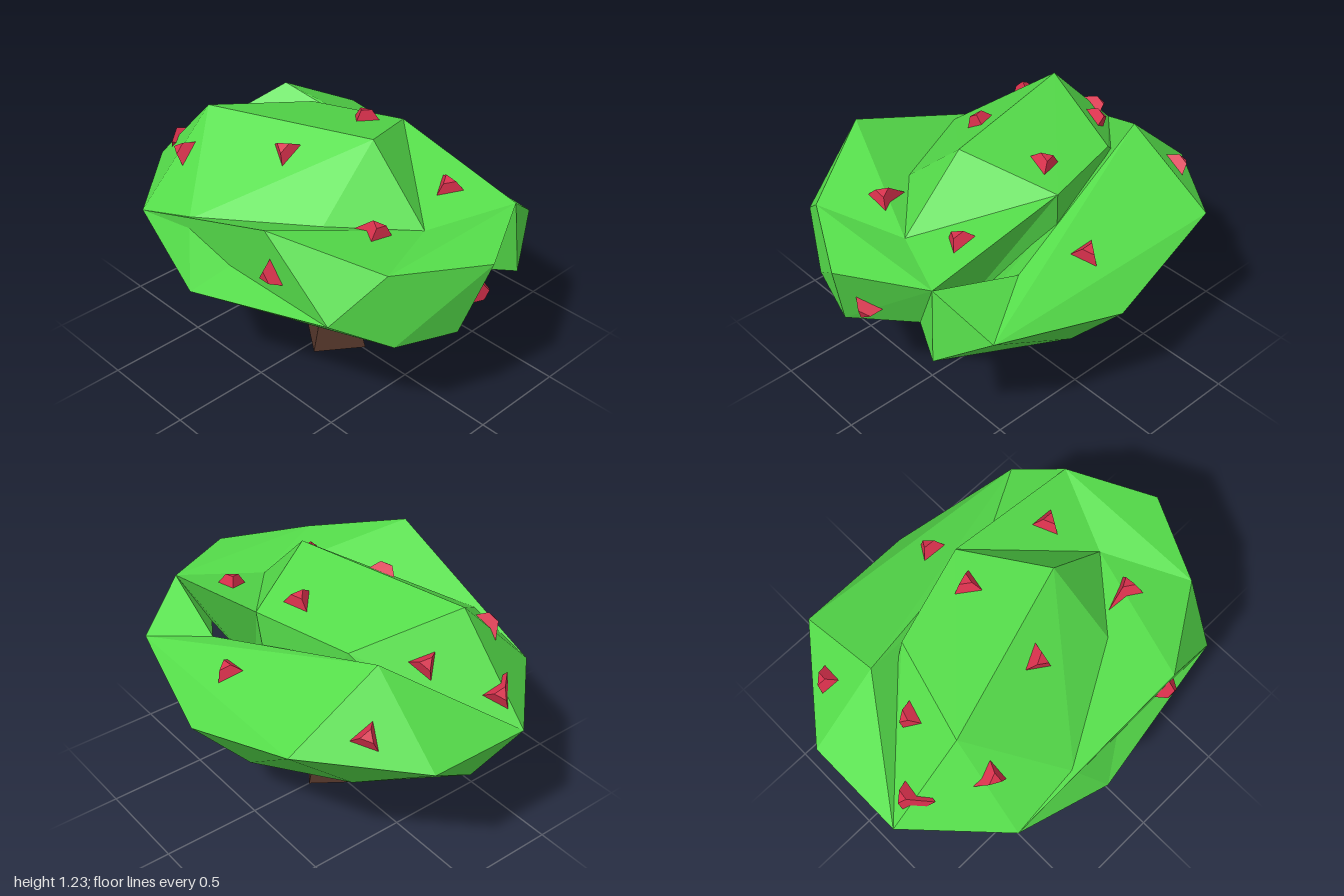
import * as THREE from 'three';
import { ConvexGeometry } from 'three/addons/geometries/ConvexGeometry.js';

const V = (p) => new THREE.Vector3(...p);
const UP = new THREE.Vector3(0, 1, 0);
const mat = (color) => new THREE.MeshStandardMaterial({ color, flatShading: true });

// Faceted limb tapering from point a to point b
function limb(a, b, r0, r1, material, sides = 5) {
  const start = V(a), dir = V(b).sub(start);
  const mesh = new THREE.Mesh(new THREE.CylinderGeometry(r1, r0, dir.length(), sides), material);
  mesh.position.copy(start).addScaledVector(dir, 0.5);
  mesh.quaternion.setFromUnitVectors(UP, dir.normalize());
  return mesh;
}

export function createModel() {
  const tree = new THREE.Group();
  tree.name = 'tree';
  const bark = mat(0x523429), leaf = mat(0x55dd4a), red = mat(0xd8304c);

  // Four-sided trunk, flared at the ground and slightly turned
  const trunk = new THREE.Mesh(new THREE.CylinderGeometry(0.115, 0.185, 0.24, 4), bark);
  trunk.name = 'trunk';
  trunk.position.set(0.03, 0.12, 0.02);
  trunk.rotation.y = 0.17;
  tree.add(trunk);

  // Branches as tapering chains: points, start radius, end radius
  const chains = [
    ['leftBranch', [[0.06, 0.19, 0.03], [0.2, 0.29, 0.12], [0.38, 0.46, 0.2]], 0.07, 0.05],
    ['rightBranch', [[0, 0.19, 0.06], [-0.26, 0.27, 0.2], [-0.4, 0.35, 0.25], [-0.58, 0.5, 0.28]], 0.065, 0.04],
    ['rightTwig', [[-0.26, 0.26, 0.2], [-0.3, 0.36, 0.24], [-0.29, 0.5, 0.3]], 0.045, 0.035],
    ['backBranch', [[0.03, 0.19, -0.04], [0.02, 0.225, -0.28], [0.12, 0.36, -0.42]], 0.055, 0.04],
    ['backTwig', [[-0.22, 0.25, 0.14], [-0.06, 0.37, 0.02]], 0.04, 0.03],
  ];
  for (const [name, pts, r0, r1] of chains) {
    const branch = new THREE.Group();
    branch.name = name;
    const n = pts.length - 1;
    const r = (k) => r0 + (r1 - r0) * k / n;
    for (let i = 0; i < n; i++) branch.add(limb(pts[i], pts[i + 1], r(i), r(i + 1), bark));
    tree.add(branch);
  }

  // Corners shared by neighbouring foliage clumps
  const peak = [0.27, 1.23, 0.02], ledge = [0.06, 1.1, -0.4], dip = [0.6, 0.9, 0.02];
  const frontDip = [-0.25, 0.86, 0.68], tip = [1, 0.92, 0.02];
  const leftFront = [0.78, 0.95, 0.44], leftBack = [0.78, 0.95, -0.39];
  const rimRight = [-0.61, 0.75, 0.69], rimLeft = [0.67, 0.75, 0.68], rimBack = [0.67, 0.75, -0.65];
  const sideRight = [-1, 0.75, 0.28], lowRight = [-0.94, 0.585, 0.03];
  const lowFront = [0.81, 0.58, 0.42], lowLeft = [0.9, 0.55, 0.11], lowBack = [0.81, 0.58, -0.41];
  const notch = [0.73, 0.64, -0.23], under = [0.48, 0.44, -0.14], underFront = [0.4, 0.385, 0.25];
  const underRight = [-0.65, 0.42, 0.365], bottom = [-0.02, 0.285, -0.33];
  const bow = [-0.12, 0.58, 0.8], bowLeft = [0.33, 0.64, 0.69], step = [0.35, 0.84, -0.46];

  // Canopy: faceted clumps that meet in valleys
  const clumps = {
    middleFoliage: [peak, [-0.58, 1.18, 0.28], ledge, [-0.42, 1.07, -0.25], dip, frontDip, rimRight,
      sideRight, bow, bowLeft, lowRight, underRight, underFront, under, bottom],
    lowerFrontFoliage: [rimRight, rimLeft, bow, bowLeft, lowFront, lowLeft, under, underFront, underRight],
    frontFoliage: [[0.33, 1.09, 0.72], leftFront, dip, frontDip, rimRight, rimLeft, lowFront, lowLeft],
    leftFoliage: [tip, leftFront, leftBack, dip, lowFront, lowLeft, notch, under],
    leftLedgeFoliage: [ledge, leftBack, dip, notch, under],
    backLedgeFoliage: [leftBack, step, rimBack, lowBack, notch],
    backFoliage: [[-0.61, 1.11, -0.24], [-1, 0.76, -0.24], sideRight, [-0.61, 0.84, -0.72],
      [0.03, 0.645, -0.8], step, rimBack, lowBack, lowRight, [-0.52, 0.43, -0.3],
      [0.03, 0.285, -0.49], bottom],
  };
  const foliage = Object.entries(clumps).map(([name, pts]) => {
    const mesh = new THREE.Mesh(new ConvexGeometry(pts.map(V)), leaf);
    mesh.name = name;
    tree.add(mesh);
    return mesh;
  });

  // Fruit: three-sided lumps set on the canopy surface where a ray meets it
  const fruitShape = new THREE.CylinderGeometry(0.035, 0.12, 0.1, 3);
  const ray = new THREE.Raycaster();
  const addFruit = (from, dir, turn) => {
    ray.set(V(from), V(dir));
    const hit = ray.intersectObjects(foliage)[0];
    if (!hit) return;
    const fruit = new THREE.Mesh(fruitShape, red);
    fruit.name = 'fruit';
    fruit.position.copy(hit.point).addScaledVector(hit.face.normal, -0.003);
    fruit.quaternion.setFromUnitVectors(UP, hit.face.normal);
    fruit.rotateY(turn);
    tree.add(fruit);
  };
  const spots = [
    [-0.75, -0.41, 0.6], [-0.86, 0.25, 0.5], [-0.62, 0.02, 0.3], [-0.55, 0.46, 2.6], [-0.06, 0.25, 0.5],
    [0.04, -0.57, 1.05], [-0.03, -0.22, 0.3], [0.5, -0.24, 0], [0.53, 0.26, 0.5],
  ];
  for (const [x, z, turn] of spots) addFruit([x, 3, z], [0, -1, 0], turn);
  addFruit([0.34, 0.87, 3], [0, 0, -1], Math.PI);
  addFruit([3, 0.7, -0.04], [-1, 0, 0], Math.PI / 2);

  return tree;
}
